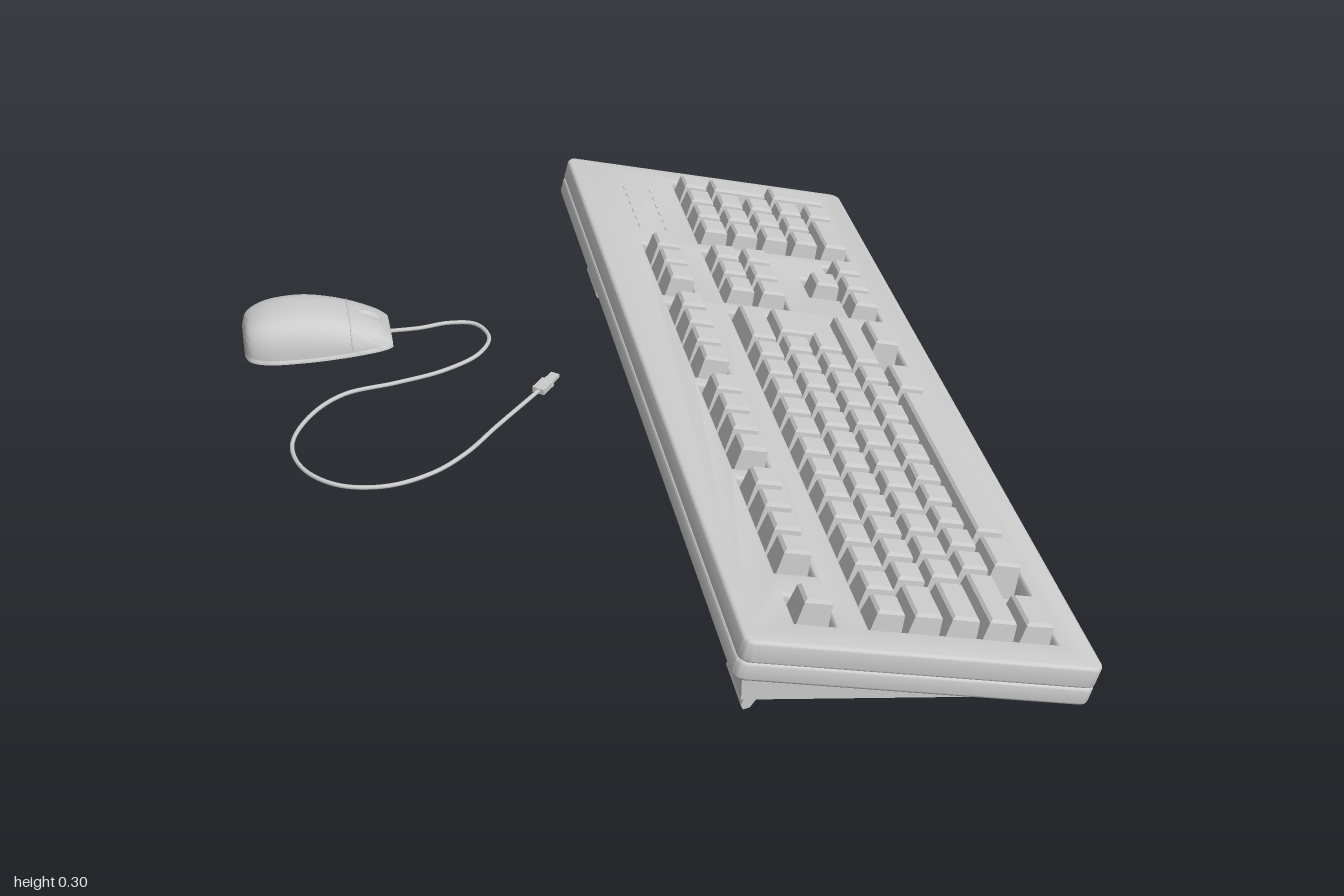
import * as THREE from 'three';
import { toCreasedNormals } from 'three/addons/utils/BufferGeometryUtils.js';

const grey = new THREE.MeshStandardMaterial({ color: 0xcccccc });
const V = (x, y, z) => new THREE.Vector3(x, y, z);

function add(parent, name, geo, x = 0, y = 0, z = 0) {
  const m = new THREE.Mesh(geo, grey);
  m.name = name;
  m.position.set(x, y, z);
  parent.add(m);
  return m;
}

const polygon = (pts) => new THREE.Shape(pts.map(([x, y]) => new THREE.Vector2(x, y)));

// rounded slab lying flat: x from 0 to len, z from -half to half, y from y0 to y1
function slab(len, half, r, y0, y1, bevel, holes = []) {
  const s = new THREE.Shape();
  s.absarc(len - r, half - r, r, 0, Math.PI / 2);
  s.absarc(r, half - r, r, Math.PI / 2, Math.PI);
  s.absarc(r, -half + r, r, Math.PI, Math.PI * 1.5);
  s.absarc(len - r, -half + r, r, Math.PI * 1.5, Math.PI * 2);
  s.closePath();
  s.holes = holes;
  const geo = new THREE.ExtrudeGeometry(s, {
    depth: y1 - y0 - 2 * bevel, bevelThickness: bevel, bevelSize: bevel,
    bevelOffset: -bevel, bevelSegments: 3, curveSegments: 5,
  });
  geo.rotateX(-Math.PI / 2);
  geo.translate(0, y0 + bevel, 0);
  return toCreasedNormals(geo, 0.6);
}

// tapered keycap with a chamfered top
function keyGeometry(w, d, h) {
  const geo = new THREE.BoxGeometry(w, h, d, 1, 2, 1);
  const p = geo.attributes.position;
  for (let i = 0; i < p.count; i++) {
    const y = p.getY(i);
    const inset = y > 0.001 ? 0.013 : y > -0.001 ? 0.008 : 0;
    p.setXYZ(i, p.getX(i) - Math.sign(p.getX(i)) * inset,
      Math.abs(y) < 0.001 ? h * 0.42 : y, p.getZ(i) - Math.sign(p.getZ(i)) * inset);
  }
  return toCreasedNormals(geo, 0.3);
}

const U = 0.0795, ROW = 0.081, ROW0 = 0.318, FUNC = 0.162;

function buildKeys(parent) {
  // x: row centre, z: left edge, u: width in units, rows: depth in rows
  const key = (x, z, u = 1, rows = 1, top = 0.033) => {
    const h = top + 0.052;
    add(parent, 'key', keyGeometry(rows * ROW - 0.006, u * U - 0.006, h),
      x + (rows - 1) * ROW / 2, top - h / 2, z - u * U / 2);
  };
  const row = (x, z, widths, top) => {
    for (const w of widths) {
      if (w > 0) key(x, z, w, 1, top);
      z -= Math.abs(w) * U;
    }
  };
  const ones = (n) => Array(n).fill(1);
  const X = (r) => ROW0 + r * ROW;

  // main block, negative widths are gaps
  const left = 0.922;
  row(X(0), left, [...ones(13), 2]);
  row(X(1), left, [1.5, ...ones(12)]);
  row(X(2), left, [1.75, ...ones(11), 2.25]);
  row(X(3), left, [2.25, ...ones(10), 2.75]);
  row(X(4), left, [1.5, -1, 1.5, 7, 1.5, -1, 1.5]);
  key(X(1), left - 13.5 * U, 1.5, 2);

  // function row
  for (const [z, n] of [[0.922, 1], [0.762, 4], [0.398, 4], [0.038, 4], [-0.326, 3]])
    row(FUNC, z, ones(n), 0.045);

  // navigation and arrow keys
  row(X(0), -0.326, ones(3));
  row(X(1), -0.326, ones(3));
  key(X(3), -0.326 - U);
  row(X(4), -0.326, ones(3));

  // number pad
  const pad = -0.613;
  for (let r = 0; r < 4; r++) row(X(r), pad, ones(3));
  row(X(4), pad, [2, 1]);
  key(X(0), pad - 3 * U);
  key(X(1), pad - 3 * U, 1, 2);
  key(X(3), pad - 3 * U, 1, 2);
}

function buildKeyboard() {
  const g = new THREE.Group();
  g.name = 'keyboard';

  // tilted upper case with key wells
  const top = new THREE.Group();
  top.name = 'upperCase';
  top.position.set(0.065, 0.283, 0);
  top.rotation.z = -THREE.MathUtils.degToRad(14.2);
  g.add(top);
  const well = (x0, x1, z0, z1) => polygon([[x0, -z0], [x1, -z0], [x1, -z1], [x0, -z1]]);
  const a = ROW0 - 0.043, b = ROW0 + 4 * ROW + 0.043, n = ROW0 + ROW + 0.043;
  const up = ROW0 + 3 * ROW - 0.043, low = up + ROW;
  const holes = [
    well(a, b, 0.927, -0.276), well(a, b, -0.608, -0.936), well(a, n, -0.321, -0.57),
    polygon([[low, 0.321], [b, 0.321], [b, 0.57], [low, 0.57], [low, 0.49], [up, 0.49], [up, 0.401], [low, 0.401]]),
    ...[[0.927, 0.838], [0.767, 0.439], [0.403, 0.075], [0.043, -0.285], [-0.321, -0.57]]
      .map(([z0, z1]) => well(FUNC - 0.043, FUNC + 0.043, z0, z1)),
  ];
  add(top, 'topShell', slab(0.765, 1, 0.025, -0.052, 0, 0.007, holes));
  add(top, 'middleShell', slab(0.765, 1, 0.025, -0.096, -0.05, 0.008));
  buildKeys(top);

  // indicator marks behind the number pad
  for (let i = 0; i < 6; i++)
    for (const x of [0.13, 0.2])
      add(top, 'indicator', new THREE.BoxGeometry(0.006, 0.003, 0.015), x, 0.0005, -0.66 - i * 0.04);

  // wedge-shaped underside
  const wedge = new THREE.ExtrudeGeometry(
    polygon([[0.068, 0.19], [0.068, 0.113], [0.775, 0.009], [0.79, 0.03], [0.75, 0.06]]),
    { depth: 1.94, bevelEnabled: false });
  add(g, 'lowerCase', wedge, 0, 0, -0.97);

  // fold-out feet with hinges, and small pads
  const footShape = polygon([[0.093, 0.012], [0.098, 0], [0.112, 0.003], [0.175, 0.1], [0.165, 0.115], [0.13, 0.11]]);
  for (const s of [-1, 1]) {
    add(g, 'foot', new THREE.ExtrudeGeometry(footShape, { depth: 0.13, bevelEnabled: false }), 0, 0, s * 0.81 - 0.065);
    for (const t of [-1, 1])
      add(g, 'footHinge', new THREE.CylinderGeometry(0.018, 0.018, 0.02, 12).rotateX(Math.PI / 2),
        0.155, 0.1, s * 0.81 + t * 0.08);
    for (const [x, z] of [[0.33, 0.45], [0.7, 0.3]]) {
      const pad = add(g, 'pad', new THREE.CylinderGeometry(0.012, 0.012, 0.008, 12),
        x, 0.113 - (x - 0.068) * 0.147, s * z);
      pad.rotation.z = -0.146;
    }
  }
  return g;
}

// mouse stations: x, half width, height above the base
const stations = new THREE.CatmullRomCurve3([
  V(-0.812, 0.045, 0.045), V(-0.8, 0.073, 0.073), V(-0.76, 0.092, 0.092), V(-0.68, 0.098, 0.099),
  V(-0.61, 0.096, 0.087), V(-0.54, 0.088, 0.062), V(-0.49, 0.077, 0.035), V(-0.47, 0.066, 0.016),
]);
const BASE = 0.205, MZ = -0.35;
const pow = (v, e) => Math.sign(v) * Math.abs(v) ** e;
const skin = (s, a, lift = 0, cap = 1) => V(s.x, BASE + lift + Math.min(cap, s.y ? s.z : 0) * Math.max(0, Math.sin(a)) ** 0.8,
  MZ + (s.y + lift) * pow(Math.cos(a), 0.6));

// loft through the stations, closed at both ends
function mouseShell(grow, cap) {
  const N = 30, M = 40, pos = [], idx = [];
  for (let i = -1; i <= N + 1; i++) {
    const s = stations.getPoint(THREE.MathUtils.clamp(i / N, 0, 1));
    s.y += grow;
    const end = i < 0 || i > N;
    for (let j = 0; j < M; j++) {
      const p = skin(s, (j / M) * Math.PI * 2, 0, cap);
      if (end) p.set(s.x, BASE + Math.min(s.z, cap) * 0.4, MZ);
      pos.push(p.x, p.y, p.z);
    }
  }
  for (let i = 0; i < N + 2; i++)
    for (let j = 0; j < M; j++) {
      const k = (j + 1) % M, a = i * M + j, b = i * M + k, c = a + M, d = b + M;
      idx.push(a, b, c, b, d, c);
    }
  const geo = new THREE.BufferGeometry();
  geo.setAttribute('position', new THREE.Float32BufferAttribute(pos, 3));
  geo.setIndex(idx);
  // make sure the faces point outwards
  const v = (i) => new THREE.Vector3().fromArray(pos, i * 3);
  const q = 15 * M + 10;
  if (v(q + 1).sub(v(q)).cross(v(q + M).sub(v(q))).y < 0) geo.setIndex(idx.reverse());
  return toCreasedNormals(geo, 0.8);
}

const tube = (pts, r, n) => new THREE.TubeGeometry(new THREE.CatmullRomCurve3(pts), n, r, 8);

function buildMouse() {
  const g = new THREE.Group();
  g.name = 'mouse';
  add(g, 'mouseBody', mouseShell(0, 1));
  add(g, 'mouseBase', mouseShell(0.002, 0.028));

  // button seams following the shell
  const seam = stations.getPoint(0.66), across = [], along = [];
  for (let i = 1; i < 20; i++) across.push(skin(seam, (i / 20) * Math.PI));
  for (let i = 0; i <= 8; i++) along.push(skin(stations.getPoint(0.66 + i * 0.04), Math.PI / 2));
  add(g, 'buttonSeam', tube(across, 0.0018, 40));
  add(g, 'buttonSplit', tube(along, 0.0018, 20));
  const wheel = add(g, 'scrollWheel', new THREE.SphereGeometry(1, 20, 12), -0.52, 0.252, MZ);
  wheel.scale.set(0.034, 0.016, 0.011);
  wheel.rotation.z = -0.45;

  // cable and plug
  const path = [[-0.48, -0.35], [-0.4, -0.35], [-0.33, -0.36], [-0.27, -0.345], [-0.245, -0.28], [-0.28, -0.21],
    [-0.37, -0.155], [-0.48, -0.125], [-0.6, -0.1], [-0.68, -0.03], [-0.73, 0.08], [-0.71, 0.18],
    [-0.64, 0.25], [-0.54, 0.27], [-0.44, 0.24], [-0.36, 0.18], [-0.28, 0.09], [-0.165, -0.035]];
  add(g, 'cable', tube(path.map(([x, z]) => V(x, 0.208, z)), 0.005, 160));
  const plug = new THREE.Group();
  plug.name = 'plug';
  plug.position.set(-0.17, 0.208, -0.03);
  plug.rotation.y = 0.88;
  g.add(plug);
  add(plug, 'plugGrip', new THREE.BoxGeometry(0.045, 0.014, 0.03), 0.025);
  add(plug, 'plugTip', new THREE.BoxGeometry(0.035, 0.009, 0.022), 0.063);
  return g;
}

export function createModel() {
  const model = new THREE.Group();
  model.name = 'keyboardAndMouse';
  model.add(buildKeyboard(), buildMouse());
  return model;
}
